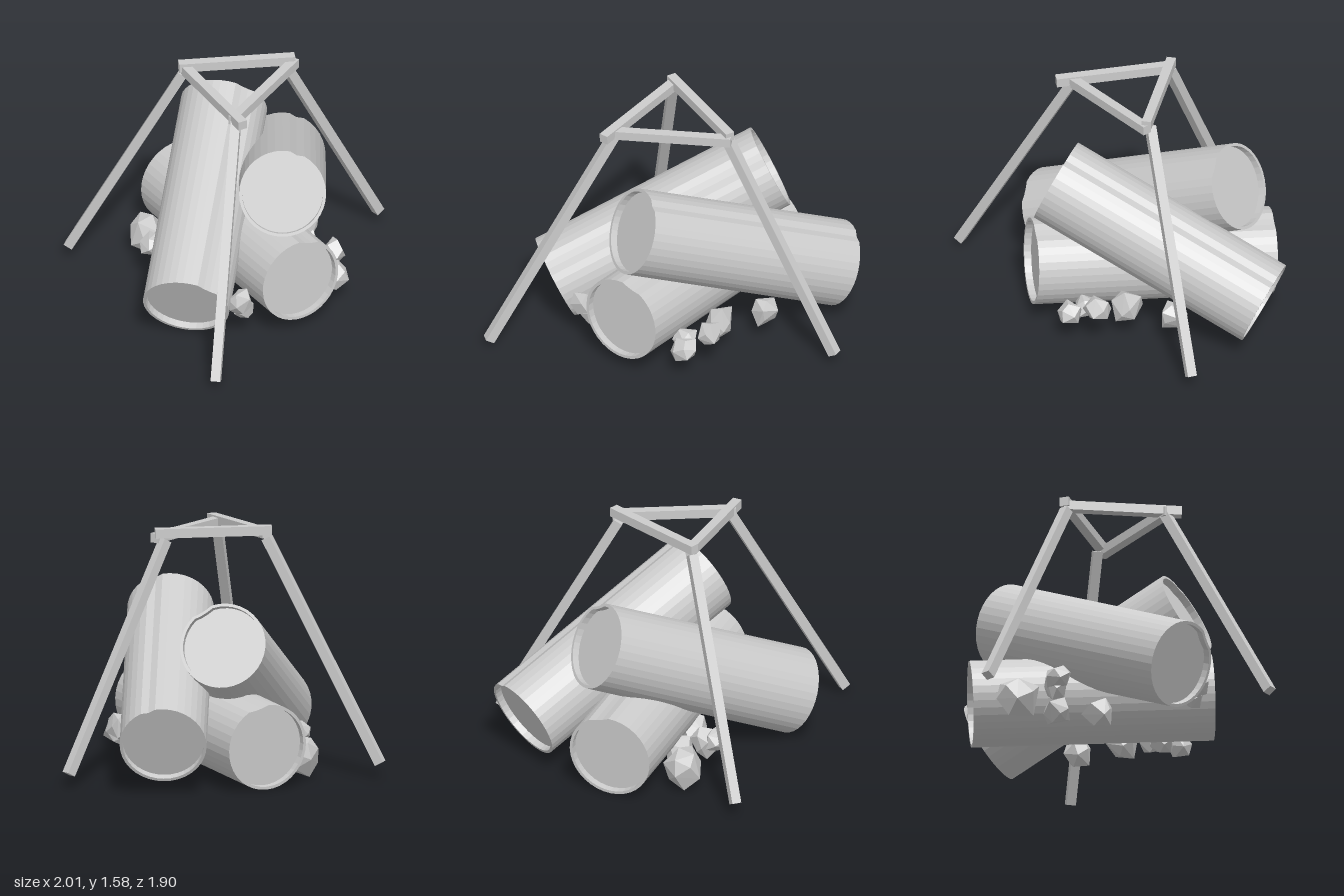
import * as THREE from 'three';
import { ConvexGeometry } from 'three/addons/geometries/ConvexGeometry.js';

const V = (p) => new THREE.Vector3(...p);
const material = new THREE.MeshStandardMaterial({ color: 0xcccccc, flatShading: true });

// Lay a part's local y axis from a to b, with local z facing as upward as possible
function span(mesh, a, b) {
  const y = V(b).sub(V(a)).normalize();
  const z = new THREE.Vector3(0, 1, 0).addScaledVector(y, -y.y).normalize();
  const x = new THREE.Vector3().crossVectors(y, z);
  mesh.quaternion.setFromRotationMatrix(new THREE.Matrix4().makeBasis(x, y, z));
  mesh.position.copy(V(a)).add(V(b)).multiplyScalar(0.5);
  return mesh;
}

// Log with recessed ends and a shallow groove running along its length
function makeLog(name, a, b, grooveDegrees) {
  const h = V(a).distanceTo(V(b)) / 2, R = 0.275, r = 0.256, d = 0.045;
  const profile = [[0, d - h], [r, d - h], [r, -h], [R, -h], [R, h], [r, h], [r, h - d], [0, h - d]];
  const geo = new THREE.LatheGeometry(profile.map((p) => new THREE.Vector2(...p)), 36);
  const pos = geo.attributes.position;
  const groove = THREE.MathUtils.degToRad(grooveDegrees);
  for (let i = 0; i < pos.count; i++) {
    const x = pos.getX(i), z = pos.getZ(i);
    const off = Math.abs(Math.atan2(x, z) - groove);
    const k = off < 0.16 ? 0.95 : 1;
    pos.setXYZ(i, x * k, pos.getY(i), z * k);
  }
  geo.computeVertexNormals();
  const mesh = span(new THREE.Mesh(geo, material), a, b);
  mesh.name = name;
  return mesh;
}

// Square timber between two points
function makeBeam(name, a, b, w = 0.06) {
  const geo = new THREE.BoxGeometry(w, V(a).distanceTo(V(b)), w);
  const mesh = span(new THREE.Mesh(geo, material), a, b);
  mesh.name = name;
  return mesh;
}

// Angular stone: convex hull of jittered points on a stretched sphere
function makeStone(center, size, seed) {
  let s = seed * 7919 + 13;
  const rand = () => (s = (s * 16807) % 2147483647) / 2147483647;
  for (let i = 0; i < 5; i++) rand();
  const points = [];
  for (let i = 0; i < 13; i++) {
    const y = 1 - (2 * (i + 0.5)) / 13, q = Math.sqrt(1 - y * y);
    const t = i * 2.4 + rand() * 0.7, k = 0.85 + rand() * 0.35;
    points.push(new THREE.Vector3(q * Math.cos(t), y, q * Math.sin(t)).multiplyScalar(k));
  }
  const mesh = new THREE.Mesh(new ConvexGeometry(points), material);
  mesh.scale.set(...size);
  mesh.position.set(...center);
  mesh.name = 'stone';
  return mesh;
}

export function createModel() {
  const model = new THREE.Group();
  model.name = 'campfire';

  // Stacked logs, each given from its front end to its back end
  const logs = new THREE.Group();
  logs.name = 'logs';
  logs.add(
    makeLog('bottomLog', [-0.085, 0.365, 0.595], [-0.085, 0.278, -0.935], 17),
    makeLog('topLog', [-0.12, 0.935, 0.43], [0.58, 0.325, -0.78], 20),
    makeLog('middleLog', [-0.785, 0.265, 0.36], [0.11, 0.91, -0.70], 33),
  );

  // Tripod: three splayed legs tied by three overlapping bars
  const tripod = new THREE.Group();
  tripod.name = 'tripod';
  const legs = [
    [[-0.89, 0.045, 0.915], [-0.375, 1.49, 0.285]],
    [[0.97, 0.085, -0.245], [0.21, 1.5, -0.115]],
    [[-0.925, 0.09, -0.87], [-0.395, 1.5, -0.345]],
  ];
  const bars = [
    [[-0.385, 1.508, 0.385], [-0.385, 1.53, -0.36]],
    [[-0.41, 1.5, 0.3], [0.27, 1.512, -0.085]],
    [[-0.42, 1.55, -0.36], [0.265, 1.542, -0.08]],
  ];
  legs.forEach(([a, b]) => tripod.add(makeBeam('leg', a, b)));
  bars.forEach(([a, b]) => tripod.add(makeBeam('topBar', a, b)));

  // Loose stones beside the logs: centre, half sizes
  const stones = new THREE.Group();
  stones.name = 'stones';
  [
    [[0.27, 0.19, 0.41], [0.09, 0.09, 0.085]],
    [[0.35, 0.25, 0.25], [0.07, 0.09, 0.09]],
    [[0.21, 0.17, 0.3], [0.08, 0.08, 0.08]],
    [[0.28, 0.2, 0.05], [0.09, 0.12, 0.11]],
    [[0.43, 0.2, -0.22], [0.08, 0.1, 0.09]],
    [[-0.46, 0.27, 0.5], [0.08, 0.09, 0.07]],
    [[-0.42, 0.19, 0.46], [0.07, 0.07, 0.06]],
    [[-0.31, 0.13, -0.13], [0.1, 0.1, 0.1]],
    [[-0.33, 0.12, -0.4], [0.09, 0.09, 0.1]],
    [[-0.59, 0.25, -0.41], [0.08, 0.08, 0.09]],
    [[-0.51, 0.22, -0.42], [0.08, 0.1, 0.08]],
    [[-0.48, 0.16, -0.66], [0.12, 0.14, 0.14]],
  ].forEach(([c, size], i) => stones.add(makeStone(c, size, i + 1)));

  model.add(logs, tripod, stones);
  return model;
}
